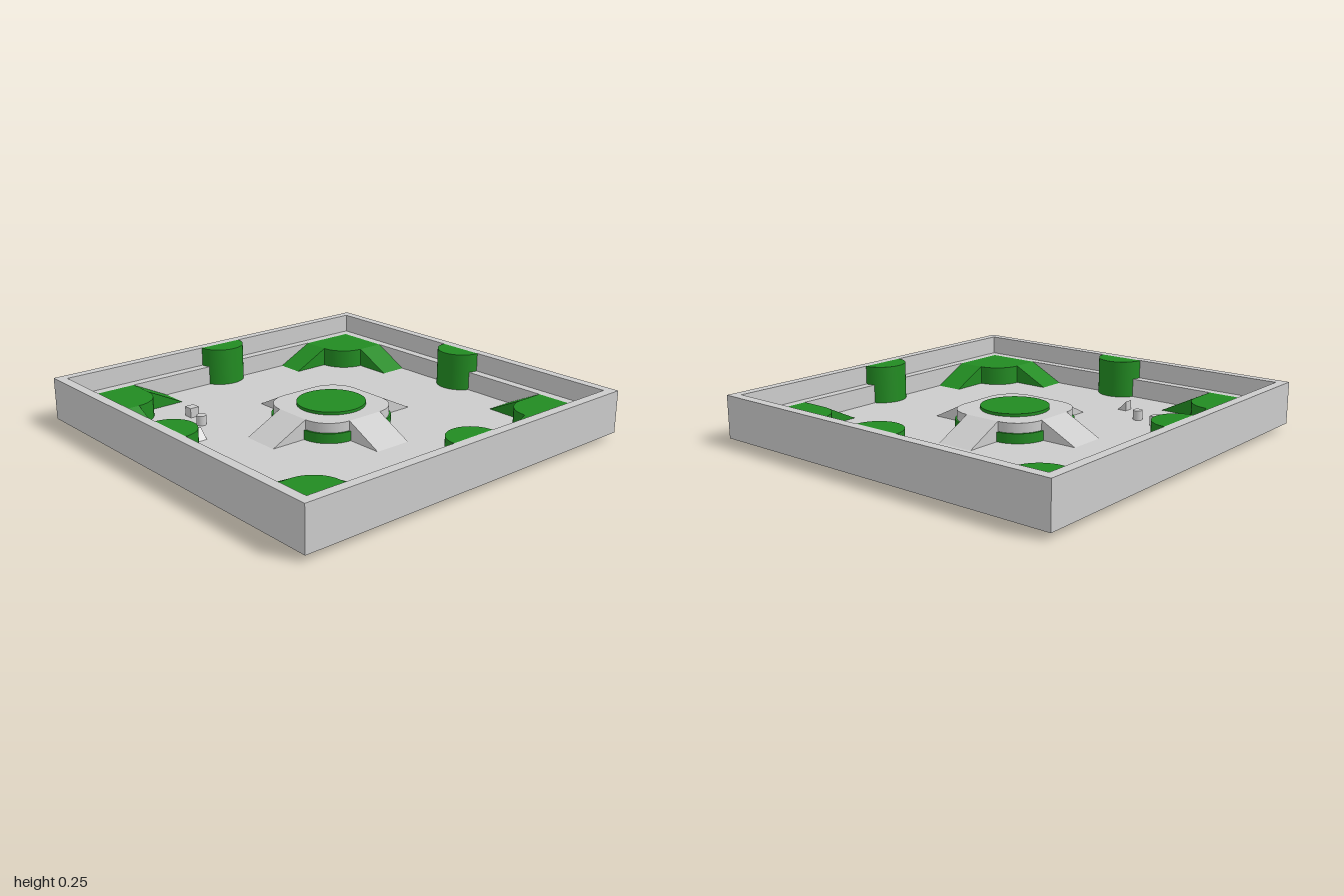
import * as THREE from 'three';
import { toCreasedNormals } from 'three/addons/utils/BufferGeometryUtils.js';

const grey = new THREE.MeshStandardMaterial({ color: 0xcccccc });
const green = new THREE.MeshStandardMaterial({ color: 0x228b22 });
const FLOOR = 0.05, LEDGE = 0.15, TOP = 0.25, BASE = 0.03;

// Upright prism from a plan outline (shape x, y become model x, z)
function prism(shape, y0, y1) {
  const g = new THREE.ExtrudeGeometry(shape, { depth: y1 - y0, bevelEnabled: false, curveSegments: 20 });
  g.rotateX(Math.PI / 2).translate(0, y1, 0);
  return toCreasedNormals(g, 0.5);
}

// Ramp falling along +x from height h to 0, standing on the floor
function ramp(len, h, width) {
  const s = new THREE.Shape([new THREE.Vector2(0, 0), new THREE.Vector2(len, 0), new THREE.Vector2(0, h)]);
  return new THREE.ExtrudeGeometry(s, { depth: width, bevelEnabled: false }).translate(0, 0, -width / 2);
}

function square(h, Type = THREE.Shape) {
  return new Type([[-h, -h], [h, -h], [h, h], [-h, h]].map(([x, y]) => new THREE.Vector2(x, y)));
}

function squareRing(outer, inner) {
  const s = square(outer);
  s.holes.push(square(inner, THREE.Path));
  return s;
}

export function createModel() {
  const model = new THREE.Group();
  model.name = 'arena';

  function add(parent, name, geometry, material, x = 0, y = 0, z = 0, turn = 0) {
    const m = new THREE.Mesh(geometry, material);
    m.name = name;
    m.position.set(x, y, z);
    m.rotation.y = turn;
    parent.add(m);
    return m;
  }

  // Floor, stepped ledge and outer wall
  add(model, 'floor', prism(square(0.9), BASE, FLOOR), grey);
  add(model, 'ledge', prism(squareRing(0.95, 0.9), BASE, LEDGE), grey);
  add(model, 'outerWall', prism(squareRing(1, 0.95), BASE, TOP), grey);

  // Corner platform with a rounded inner end
  const corner = new THREE.Shape();
  corner.moveTo(0.9, 0.9);
  corner.lineTo(0.6, 0.9);
  corner.lineTo(0.6, 0.75);
  corner.absarc(0.75, 0.75, 0.15, Math.PI, Math.PI * 1.5, false);
  corner.lineTo(0.9, 0.6);
  corner.closePath();
  const cornerGeo = prism(corner, FLOOR, LEDGE);

  // Half-round tower against the wall
  const half = new THREE.Shape();
  half.absarc(0, 0.95, 0.125, Math.PI, Math.PI * 2, false);
  half.closePath();
  const towerGeo = prism(half, FLOOR, TOP);

  // Quarter-round support under the centre platform
  const quarter = new THREE.Shape();
  quarter.moveTo(0.1, 0.1);
  quarter.absarc(0.1, 0.1, 0.16, 0, Math.PI / 2, false);
  quarter.closePath();
  const supportGeo = prism(quarter, 0, 0.1);

  const cornerRamp = ramp(0.2, 0.1, 0.15);
  const centreRamp = ramp(0.2, 0.1, 0.2);

  // Everything that repeats on the four sides
  for (let i = 0; i < 4; i++) {
    const side = new THREE.Group();
    side.name = 'side' + (i + 1);
    side.rotation.y = i * Math.PI / 2;
    add(side, 'cornerPlatform', cornerGeo, green);
    add(side, 'cornerRampA', cornerRamp, green, 0.6, FLOOR, 0.825, Math.PI);
    add(side, 'cornerRampB', cornerRamp, green, 0.825, FLOOR, 0.6, Math.PI / 2);
    add(side, 'wallTower', towerGeo, green);
    add(side, 'platformSupport', supportGeo, green);
    add(side, 'centreRamp', centreRamp, grey, 0.25, FLOOR, 0);
    model.add(side);
  }

  // Centre platform: rounded slab on a cross-shaped core, with a raised disc
  const slab = new THREE.Shape();
  [[1, 1], [-1, 1], [-1, -1], [1, -1]].forEach(([x, z], i) =>
    slab.absarc(0.1 * x, 0.1 * z, 0.15, i * Math.PI / 2, (i + 1) * Math.PI / 2, false));
  slab.closePath();
  add(model, 'centreSlab', prism(slab, 0.1, LEDGE), grey);
  add(model, 'coreAcross', new THREE.BoxGeometry(0.5, 0.05, 0.2), grey, 0, 0.075, 0);
  add(model, 'coreAlong', new THREE.BoxGeometry(0.2, 0.05, 0.5), grey, 0, 0.075, 0);
  add(model, 'centreDisc', new THREE.CylinderGeometry(0.175, 0.175, 0.015, 64), green, 0, LEDGE + 0.0075, 0);

  // Small loose blocks on the floor
  add(model, 'smallCube', new THREE.BoxGeometry(0.05, 0.05, 0.05), grey, -0.48, FLOOR + 0.025, -0.535);
  add(model, 'smallCylinder', new THREE.CylinderGeometry(0.025, 0.025, 0.05, 32), grey, -0.515, FLOOR + 0.025, -0.4);
  add(model, 'smallWedge', ramp(0.05, 0.05, 0.05), grey, -0.64, FLOOR, -0.26, -Math.PI / 2);

  return model;
}
